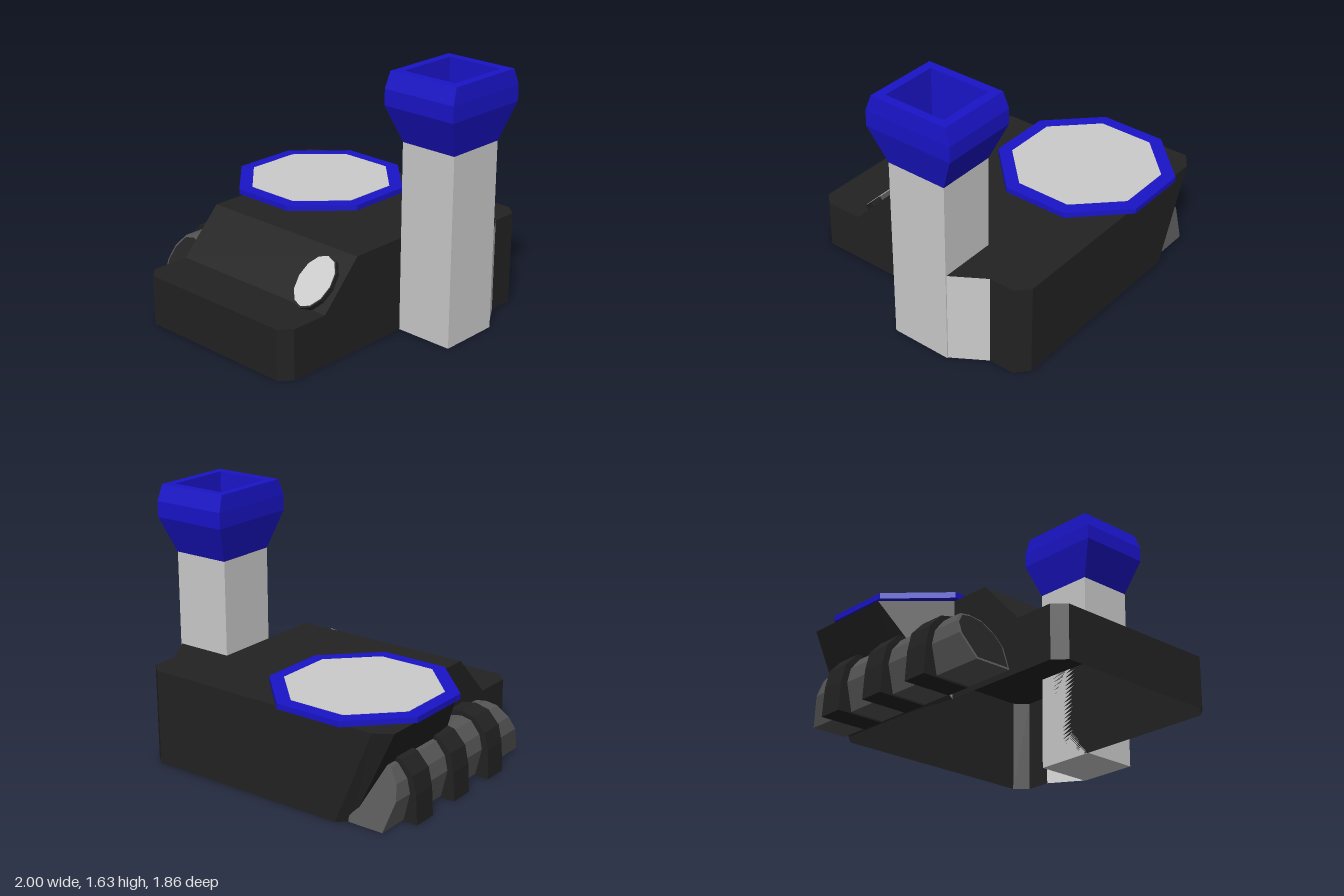
import * as THREE from 'three';

const mat = (color) => new THREE.MeshStandardMaterial({ color, flatShading: true, side: THREE.DoubleSide });
const grey = mat(0xcccccc), black = mat(0x222222), blue = mat(0x1a14c8);
const steel = mat(0x555555), floorGrey = mat(0x5c5c5c);

function add(group, name, geometry, material) {
  const mesh = new THREE.Mesh(geometry, material);
  mesh.name = name;
  group.add(mesh);
  return mesh;
}

function soup(points) {
  const g = new THREE.BufferGeometry();
  g.setAttribute('position', new THREE.Float32BufferAttribute(points.flat(), 3));
  g.computeVertexNormals();
  return g;
}

const quad = (a, b, c, d) => [a, b, c, a, c, d];

// Plan outline of the hull: x at the top, z, height, optional x at the ground
const hull = [
  [-0.86, -0.89, 0.6, -0.61], [0.72, -0.89, 0.6], [0.8, -0.82, 0.6], [0.8, -0.65, 0.6],
  [0.935, -0.44, 0.6], [0.56, -0.44, 0.6], [0.56, 0.34, 0.6], [0.56, 0.61, 0.32],
  [0.56, 0.86, 0.32], [0.49, 0.93, 0.32], [-0.57, 0.93, 0.32], [-0.64, 0.86, 0.32],
  [-0.64, 0.61, 0.32], [-0.64, 0.34, 0.6], [-0.64, 0.08, 0.6],
  [-0.96, -0.22, 0.6, -0.68], [-0.96, -0.82, 0.6, -0.68],
];
const top = (i) => [hull[i][0], hull[i][2], hull[i][1]];
const foot = (i) => [hull[i][3] ?? hull[i][0], 0, hull[i][1]];
const wall = (i) => {
  const j = (i + 1) % hull.length;
  return quad(foot(i), top(i), top(j), foot(j));
};

// One flat piece of the hull's roof, given by outline indices
function roof(ids) {
  const contour = ids.map((i) => new THREE.Vector2(hull[i][0], hull[i][1]));
  return THREE.ShapeUtils.triangulateShape(contour, [])
    .flatMap(([a, b, c]) => [top(ids[a]), top(ids[c]), top(ids[b])]);
}

// Rectangular rings [halfX, halfZ, y] joined into a tube
function squareLoft(rings) {
  const corners = [[-1, -1], [1, -1], [1, 1], [-1, 1]];
  const p = ([hx, hz, y], k) => [corners[k % 4][0] * hx, y, corners[k % 4][1] * hz];
  const pts = [];
  for (let r = 0; r < rings.length - 1; r++)
    for (let k = 0; k < 4; k++)
      pts.push(...quad(p(rings[r], k), p(rings[r + 1], k), p(rings[r + 1], k + 1), p(rings[r], k + 1)));
  return soup(pts);
}

const shapeOf = (pts) => new THREE.Shape(pts.map(([x, y]) => new THREE.Vector2(x, y)));

export function createModel() {
  const model = new THREE.Group();

  // Hollow hull, open underneath, with a sloped step to a low nose
  const body = new THREE.Group();
  body.name = 'body';
  model.add(body);
  const walls = hull.flatMap((_, i) => (i === 3 ? [] : wall(i)));
  add(body, 'walls', soup(walls), black);
  add(body, 'deck', soup(roof([0, 1, 2, 3, 4, 5, 6, 13, 14, 15, 16])), black);
  add(body, 'slope', soup(roof([6, 7, 12, 13])), black);
  add(body, 'nose', soup(roof([7, 8, 9, 10, 11, 12])), black);
  add(body, 'towerBrace', soup(wall(3)), grey);

  // Octagonal pad on the deck
  const octagon = (name, apothem, y0, y1, material) => {
    const r = apothem / Math.cos(Math.PI / 8);
    const g = new THREE.CylinderGeometry(r, r, y1 - y0, 8);
    g.rotateY(Math.PI / 8);
    add(model, name, g, material).position.set(-0.45, (y0 + y1) / 2, -0.405);
  };
  octagon('padRim', 0.523, 0.6, 0.635, blue);
  octagon('padTop', 0.44, 0.61, 0.638, grey);

  // Square tower with a flared, hollow cap
  const tower = new THREE.Group();
  tower.name = 'tower';
  tower.position.set(0.75, 0, -0.243);
  model.add(tower);
  add(tower, 'shaft', new THREE.BoxGeometry(0.38, 1.2, 0.4), grey).position.y = 0.6;
  add(tower, 'cap', squareLoft([
    [0.19, 0.2, 1.2], [0.25, 0.297, 1.43], [0.25, 0.297, 1.53], [0.24, 0.262, 1.63],
    [0.185, 0.205, 1.63], [0.17, 0.19, 1.21],
  ]), blue);
  add(tower, 'capFloor', new THREE.BoxGeometry(0.35, 0.02, 0.39), floorGrey).position.y = 1.21;

  // Oval headlight lying on the slope
  const lamp = new THREE.Group();
  lamp.name = 'headlight';
  lamp.position.set(0.395, 0.455, 0.525);
  lamp.rotation.x = Math.PI / 4;
  model.add(lamp);
  const disc = (name, rx, rz, h, y, material) => {
    const mesh = add(lamp, name, new THREE.CylinderGeometry(1, 1, 1, 12), material);
    mesh.scale.set(rx, h, rz);
    mesh.position.y = y;
  };
  disc('lampHousing', 0.13, 0.18, 0.06, -0.031, black);
  disc('lampGlass', 0.122, 0.168, 0.02, -0.008, grey);

  // Arched pipe along the right side, cut at a slant on both ends
  const arch = [
    [-0.91, 0.01], [-0.95, 0.18], [-0.93, 0.27], [-0.87, 0.345], [-0.8, 0.36],
    [-0.72, 0.345], [-0.66, 0.27], [-0.64, 0.18], [-0.68, 0.01],
  ];
  const pipe = new THREE.ExtrudeGeometry(shapeOf(arch), { depth: 1, bevelEnabled: false });
  const frontZ = (y) => 0.595 - 0.56 * y;
  const p = pipe.attributes.position;
  for (let i = 0; i < p.count; i++) {
    const y = p.getY(i);
    p.setZ(i, p.getZ(i) > 0.5 ? frontZ(y) : -0.86 + 0.4 * y);
  }
  pipe.computeVertexNormals();
  add(model, 'sidePipe', pipe, steel);

  // Dark end face inside the pipe's rim
  const inner = arch.map(([x, y]) => [-0.795 + (x + 0.795) * 0.92, 0.18 + (y - 0.18) * 0.93]);
  const end = new THREE.ShapeGeometry(shapeOf(inner));
  const e = end.attributes.position;
  for (let i = 0; i < e.count; i++) e.setZ(i, frontZ(e.getY(i)) + 0.004);
  end.computeVertexNormals();
  add(model, 'pipeEnd', end, black);

  // Bands clamping the pipe
  const bandShape = shapeOf([
    [-1, 0], [-0.99, 0.18], [-0.965, 0.29], [-0.89, 0.37], [-0.8, 0.39],
    [-0.71, 0.375], [-0.63, 0.3], [-0.62, 0.18], [-0.69, 0],
  ]);
  for (const z of [0.105, -0.27, -0.65]) {
    const g = new THREE.ExtrudeGeometry(bandShape, { depth: 0.16, bevelEnabled: false });
    add(model, 'pipeBand', g, black).position.z = z;
  }

  return model;
}
